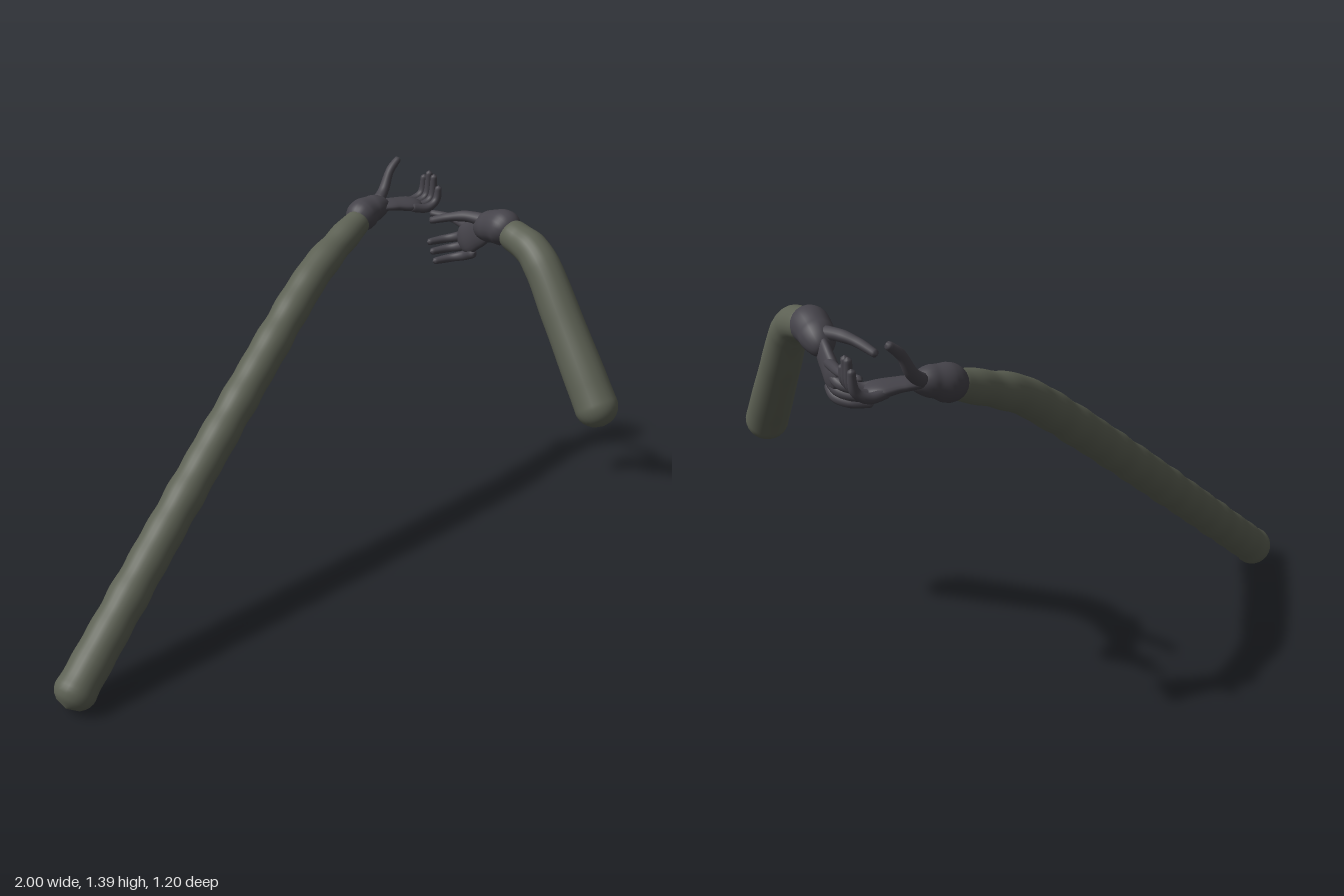
import * as THREE from 'three';
import { mergeVertices } from 'three/addons/utils/BufferGeometryUtils.js';

// Round-ended limb through [x, y, z, radius] points; flat = [axis, factor] squashes its section.
function limb(points, { segments = 32, sides = 12, flat = null, wobble = 0 } = {}) {
  const pts = points.map(p => new THREE.Vector3(p[0], p[1], p[2]));
  const path = new THREE.CatmullRomCurve3(pts);
  const stops = [0];
  for (let i = 1; i < pts.length; i++) stops.push(stops[i - 1] + pts[i].distanceTo(pts[i - 1]));
  const total = stops[stops.length - 1];
  const radiusAt = d => {
    let i = 1;
    while (i < stops.length - 1 && d > stops[i]) i++;
    const t = THREE.MathUtils.smoothstep(d, stops[i - 1], stops[i]);
    let r = THREE.MathUtils.lerp(points[i - 1][3], points[i][3], t);
    r *= 1 + wobble * (Math.sin(d * 48) + 0.6 * Math.sin(d * 31 + 1));
    const end = Math.min(1, Math.min(d, total - d) / r);
    return r * Math.sqrt(Math.max(0, 1 - (1 - end) ** 2)) + 0.0004;
  };
  const geo = new THREE.TubeGeometry(path, segments, 1, sides, false);
  const pos = geo.attributes.position;
  const v = new THREE.Vector3();
  for (let i = 0; i <= segments; i++) {
    const centre = path.getPointAt(i / segments);
    const r = radiusAt(total * i / segments);
    for (let j = 0; j <= sides; j++) {
      const k = i * (sides + 1) + j;
      v.fromBufferAttribute(pos, k).sub(centre).multiplyScalar(r);
      if (flat) v[flat[0]] *= flat[1];
      v.add(centre);
      pos.setXYZ(k, v.x, v.y, v.z);
    }
  }
  geo.deleteAttribute('normal');
  geo.deleteAttribute('uv');
  const smooth = mergeVertices(geo, 1e-5);
  smooth.computeVertexNormals();
  return smooth;
}

export function createModel() {
  const sleeve = new THREE.MeshStandardMaterial({ color: 0x5c6053 });
  sleeve.name = 'olive sleeve';
  const glove = new THREE.MeshStandardMaterial({ color: 0x45434a });
  glove.name = 'dark glove';

  const model = new THREE.Group();
  const group = name => {
    const g = new THREE.Group();
    g.name = name;
    model.add(g);
    return g;
  };
  const add = (parent, name, material, points, options) => {
    const mesh = new THREE.Mesh(limb(points, options), material);
    mesh.name = name;
    parent.add(mesh);
  };
  const armOptions = { segments: 160, sides: 24 };
  const cuffOptions = { segments: 40, sides: 20 };

  // Long arm, reaching up and back
  const long = group('longArm');
  add(long, 'longSleeve', sleeve, [
    [-0.98, 0.033, 0.287, 0.076], [-0.85, 0.145, 0.22, 0.07], [-0.4, 0.53, -0.01, 0.068],
    [0, 0.865, -0.21, 0.066], [0.2, 1.025, -0.312, 0.064], [0.3, 1.095, -0.362, 0.062],
    [0.43, 1.155, -0.428, 0.056], [0.58, 1.215, -0.5, 0.048],
  ], { ...armOptions, wobble: 0.022 });
  add(long, 'longCuff', glove, [
    [0.525, 1.195, -0.48, 0.055], [0.585, 1.22, -0.507, 0.06],
    [0.63, 1.232, -0.515, 0.05], [0.7, 1.237, -0.52, 0.03],
  ], cuffOptions);
  add(long, 'longPalm', glove, [
    [0.63, 1.235, -0.52, 0.035], [0.72, 1.235, -0.513, 0.048],
    [0.78, 1.228, -0.507, 0.056], [0.835, 1.222, -0.505, 0.055],
  ], { ...cuffOptions, flat: ['y', 0.4] });
  add(long, 'longThumb', glove, [
    [0.66, 1.24, -0.535, 0.024], [0.705, 1.28, -0.562, 0.02],
    [0.74, 1.345, -0.578, 0.016], [0.785, 1.387, -0.588, 0.013],
  ]);
  // Four fingers bending upward at the tips
  for (let i = 0; i < 4; i++) {
    const z = -0.555 + 0.034 * i;
    const top = [1.315, 1.34, 1.335, 1.3][i];
    add(long, 'longFinger' + (i + 1), glove, [
      [0.765, 1.228, z * 0.7 - 0.152, 0.017], [0.835, 1.22, z, 0.0165],
      [0.872, 1.245, z, 0.015], [0.88, top, z, 0.012],
    ]);
  }

  // Short arm, bent at the elbow
  const short = group('shortArm');
  add(short, 'shortSleeve', sleeve, [
    [0.923, 0.742, 0.568, 0.076], [0.914, 0.86, 0.476, 0.073], [0.898, 1.06, 0.32, 0.068],
    [0.886, 1.205, 0.205, 0.064], [0.88, 1.25, 0.145, 0.06],
    [0.872, 1.267, 0.08, 0.056], [0.864, 1.28, 0.0, 0.052],
  ], armOptions);
  add(short, 'shortCuff', glove, [
    [0.868, 1.275, 0.058, 0.058], [0.862, 1.285, 0.0, 0.064],
    [0.857, 1.27, -0.065, 0.058], [0.854, 1.235, -0.145, 0.038],
  ], cuffOptions);
  add(short, 'shortPalm', glove, [
    [0.856, 1.26, -0.08, 0.045], [0.852, 1.215, -0.15, 0.054],
    [0.848, 1.18, -0.2, 0.058], [0.845, 1.148, -0.245, 0.055],
  ], { ...cuffOptions, flat: ['x', 0.42] });
  add(short, 'shortThumb', glove, [
    [0.848, 1.285, -0.09, 0.024], [0.805, 1.288, -0.155, 0.02],
    [0.765, 1.275, -0.205, 0.016], [0.722, 1.248, -0.268, 0.013],
  ]);
  add(short, 'pointingFinger', glove, [
    [0.853, 1.215, -0.17, 0.018], [0.855, 1.222, -0.25, 0.017],
    [0.848, 1.222, -0.325, 0.014], [0.81, 1.222, -0.4, 0.012],
  ]);
  // Three fingers curling inward across the palm
  for (let i = 0; i < 3; i++) {
    const y = -0.03 * i, z = 0.022 * i;
    add(short, 'curledFinger' + (i + 1), glove, [
      [0.85, 1.2 + y, -0.195 + z, 0.018], [0.845, 1.172 + y, -0.25 + z, 0.0175],
      [0.81, 1.157 + y, -0.285 + z, 0.015], [0.738, 1.15 + y, -0.3 + z, 0.012],
    ]);
  }
  return model;
}
